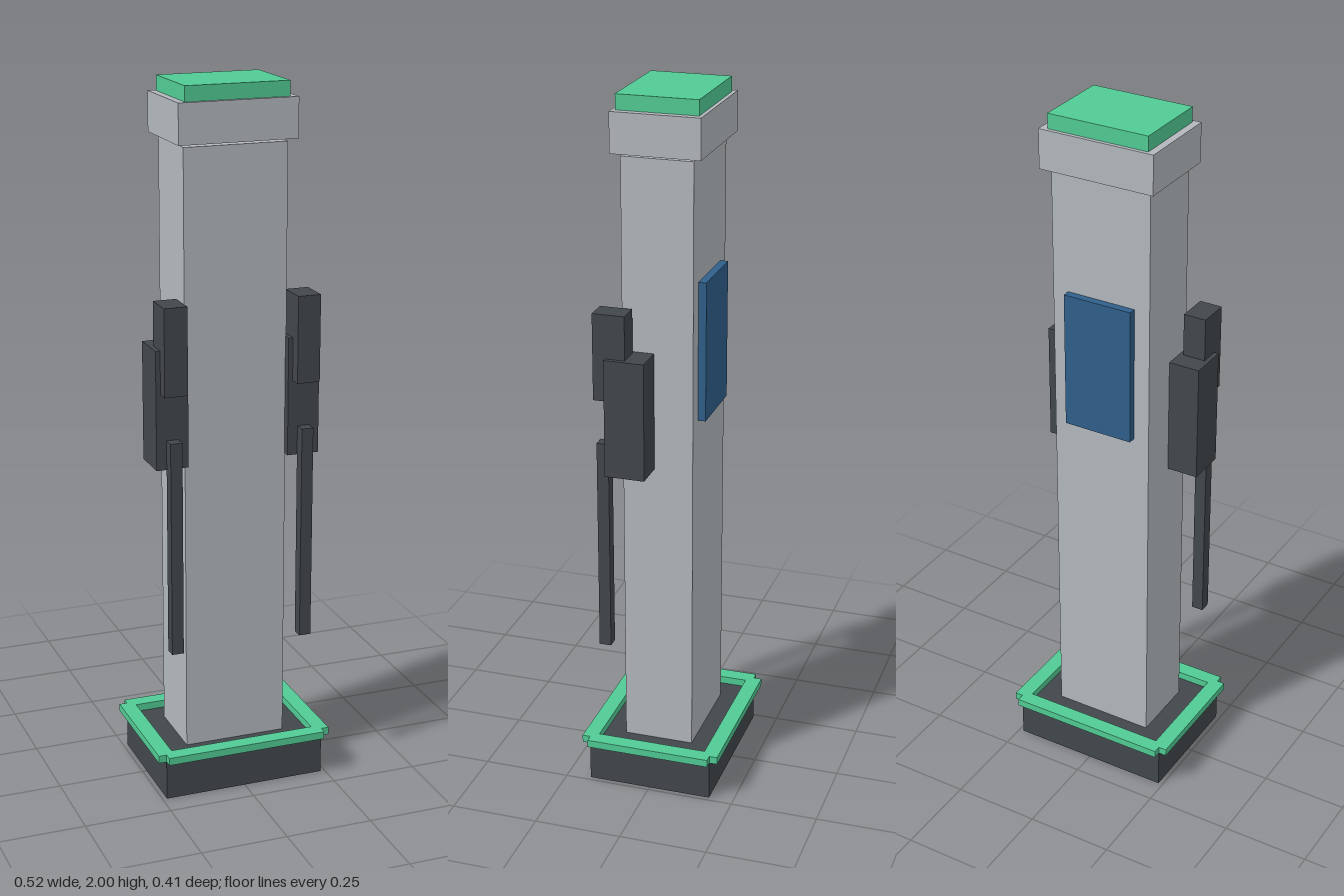
import * as THREE from 'three';

const paint = (name, color) => Object.assign(new THREE.MeshStandardMaterial({ color }), { name });

export function createModel() {
  const green = paint('green', 0x50cb94);
  const grey = paint('light grey', 0xb3b8bd);
  const dark = paint('charcoal', 0x42474c);
  const blue = paint('screen blue', 0x2f5f8a);

  const model = new THREE.Group();
  model.name = 'chargingPost';

  // Adds a box given its [min, max] range on each axis
  function box(parent, name, material, [x0, x1], [y0, y1], [z0, z1]) {
    const mesh = new THREE.Mesh(new THREE.BoxGeometry(x1 - x0, y1 - y0, z1 - z0), material);
    mesh.position.set((x0 + x1) / 2, (y0 + y1) / 2, (z0 + z1) / 2);
    mesh.name = name;
    parent.add(mesh);
  }

  // Plinth, column and cap
  box(model, 'base', dark, [-0.237, 0.237], [0, 0.115], [-0.18, 0.18]);
  box(model, 'column', grey, [-0.148, 0.148], [0.115, 1.838], [-0.1, 0.1]);
  box(model, 'cap', grey, [-0.169, 0.169], [1.847, 1.958], [-0.125, 0.123]);
  box(model, 'topLight', green, [-0.148, 0.148], [1.958, 2], [-0.114, 0.113]);

  // Display on the back
  box(model, 'screen', blue, [-0.102, 0.102], [1.105, 1.5], [-0.122, -0.1]);

  // Trim frame around the plinth
  const trim = new THREE.Group();
  trim.name = 'baseTrim';
  model.add(trim);
  const trimY = [0.115, 0.137];
  box(trim, 'frontTrim', green, [-0.237, 0.237], trimY, [0.159, 0.203]);
  box(trim, 'backTrim', green, [-0.237, 0.237], trimY, [-0.203, -0.159]);
  box(trim, 'leftTrim', green, [0.215, 0.26], trimY, [-0.18, 0.18]);
  box(trim, 'rightTrim', green, [-0.26, -0.215], trimY, [-0.18, 0.18]);

  // Holster, handle and hanging cable on each side
  for (const side of [1, -1]) {
    const connector = new THREE.Group();
    connector.name = side > 0 ? 'leftConnector' : 'rightConnector';
    connector.position.x = side * 0.192;
    model.add(connector);
    box(connector, 'holster', dark, [-0.046, 0.046], [0.965, 1.302], [0.01, 0.123]);
    box(connector, 'handle', dark, [-0.033, 0.033], [1.18, 1.426], [0.067, 0.158]);
    box(connector, 'cable', dark, [-0.017, 0.017], [0.43, 1.048], [0.122, 0.156]);
  }

  return model;
}
